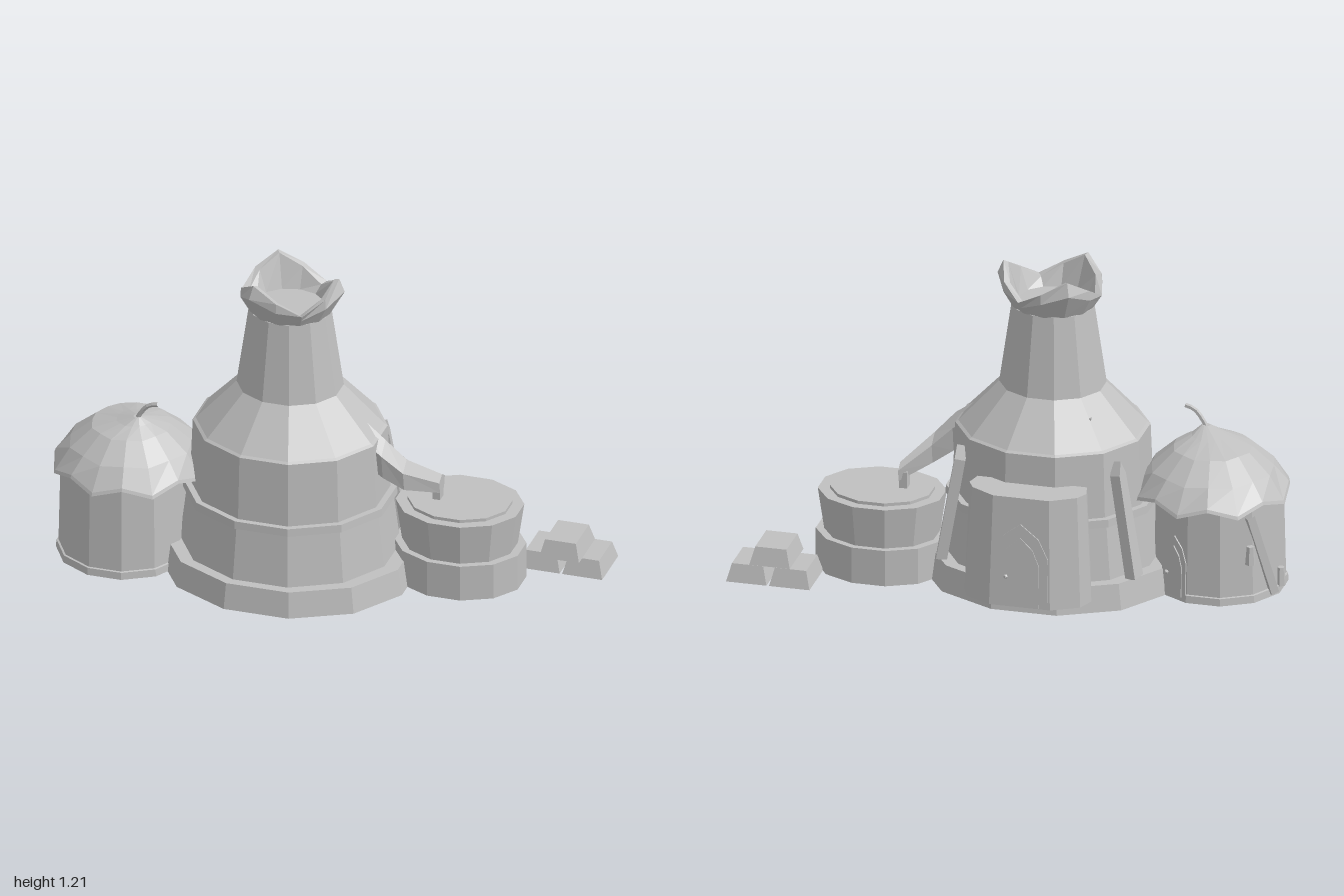
import * as THREE from 'three';

const stone = new THREE.MeshStandardMaterial({ color: 0xc0c0c0, flatShading: true });
stone.name = 'grey stone';

const V = (x, y, z) => new THREE.Vector3(x, y, z);

// Closed solid through a series of cross-sections with equal point counts
function loft(rings) {
  const pos = [];
  const tri = (...p) => p.forEach(v => pos.push(v.x, v.y, v.z));
  const mid = r => r.reduce((s, v) => s.add(v), V(0, 0, 0)).divideScalar(r.length);
  const n = rings[0].length, first = rings[0], last = rings[rings.length - 1];
  const c0 = mid(first), c1 = mid(last);
  for (let i = 0; i < n; i++) {
    const j = (i + 1) % n;
    for (let k = 0; k + 1 < rings.length; k++) {
      const a = rings[k], b = rings[k + 1];
      tri(a[i], b[i], a[j]);
      tri(a[j], b[i], b[j]);
    }
    tri(c0, first[i], first[j]);
    tri(c1, last[j], last[i]);
  }
  const g = new THREE.BufferGeometry();
  g.setAttribute('position', new THREE.Float32BufferAttribute(pos, 3));
  g.computeVertexNormals();
  return g;
}

// Horizontal ring; f(angle, index) gives [radius, y]
function ring(cx, cz, sx, f, offset = Math.PI / 12, n = 12) {
  return Array.from({ length: n }, (_, i) => {
    const a = offset + i * Math.PI * 2 / n, [r, y] = f(a, i);
    return V(cx + sx * r * Math.cos(a), y, cz + r * Math.sin(a));
  });
}

// Twelve-sided turned solid; profile radii are measured to the flats
function turned(cx, cz, sx, profile) {
  return loft(profile.map(([r, y]) => ring(cx, cz, sx, () => [r / Math.cos(Math.PI / 12), y])));
}

function archGeometry(w, h, depth) {
  const s = new THREE.Shape();
  s.moveTo(-w / 2, 0);
  s.lineTo(w / 2, 0);
  s.lineTo(w / 2, h * 0.6);
  s.lineTo(w * 0.33, h * 0.83);
  s.lineTo(0, h);
  s.lineTo(-w * 0.33, h * 0.83);
  s.lineTo(-w / 2, h * 0.6);
  return new THREE.ExtrudeGeometry(s, { depth, bevelEnabled: false });
}

export function createModel() {
  const model = new THREE.Group();
  const add = (name, geo, parent = model) => {
    const m = new THREE.Mesh(geo, stone);
    m.name = name;
    parent.add(m);
    return m;
  };

  // Tower, with a base hollow from below
  const tx = -0.125, tz = 0.04, ts = 1.09;
  add('towerBase', turned(tx, tz, 1.13, [[0.385, 0.09], [0.403, 0], [0.41, 0], [0.395, 0.1]]));
  add('towerBody', turned(tx, tz, ts, [[0.36, 0.095], [0.337, 0.305], [0.35, 0.305], [0.348, 0.335],
    [0.327, 0.335], [0.318, 0.585], [0.308, 0.592], [0.175, 0.75], [0.135, 1.06]]));

  // Flared crown with three points and a hollow middle
  const crown = f => ring(tx, tz, ts, a => f((1 + Math.cos(3 * a)) / 2), 0);
  add('towerCrown', loft([
    crown(() => [0.139, 1.058]),
    crown(t => [0.155 + 0.037 * t, 1.085 + 0.075 * t]),
    crown(t => [0.17 + 0.002 * t, 1.11 + 0.1 * t]),
    crown(t => [0.145 + 0.01 * t, 1.105 + 0.1 * t]),
    crown(() => [0.118, 1.075]),
  ]));

  // Small pegs on the tower shoulder
  for (const x of [-0.31, -0.02]) {
    const peg = add('roofPeg', new THREE.BoxGeometry(0.008, 0.02, 0.015));
    peg.position.set(x, 0.68, -0.12);
  }

  // Porch behind the tower
  const plan = (y, s, back) => [[0.225, -0.25], [-0.225, -0.25], [-0.24, -0.31], [-0.215, -0.375 + back],
    [-0.115, -0.43 + back], [0.115, -0.43 + back], [0.215, -0.375 + back], [0.24, -0.31]]
    .map(([x, z]) => V(tx + x * s, y, z));
  add('porch', loft([plan(0.045, 1, 0), plan(0.47, 0.92, 0.02)]));

  // Pointed doors with frame, panel and knob
  function door(name, x, y, z, turn, lean, w, h) {
    const g = new THREE.Group();
    g.name = name;
    g.rotation.order = 'YXZ';
    g.rotation.set(lean, turn, 0);
    g.position.set(x, y, z);
    add('doorFrame', archGeometry(w, h, 0.005), g);
    add('doorPanel', archGeometry(w * 0.7, h * 0.84, 0.009), g);
    const knob = add('doorKnob', new THREE.IcosahedronGeometry(0.009, 0), g);
    knob.position.set(-w * 0.24, h * 0.36, 0.014);
    model.add(g);
  }
  door('porchDoor', tx, 0.05, -0.43, Math.PI, -0.047, 0.21, 0.32);

  // Pointed planks leaning on both sides of the tower
  for (const side of [-1, 1]) {
    const s = new THREE.Shape([[-0.032, 0], [0.032, 0], [0.024, 0.4], [0, 0.45], [-0.024, 0.4]]
      .map(p => new THREE.Vector2(...p)));
    const plank = add('leaningPlank', new THREE.ExtrudeGeometry(s, { depth: 0.04, bevelEnabled: false }));
    plank.rotation.order = 'YXZ';
    plank.position.set(tx + side * 0.345, 0.095, -0.165);
    plank.rotation.set(-0.17, side * 1.8, 0);
  }

  // Bent chute from the tower to the pot
  const chute = [[0.17, 0.56, 0.045, 0.05, 0.075], [0.245, 0.51, 0.055, 0.05, 0.07],
    [0.32, 0.445, 0.035, 0.046, 0.055], [0.425, 0.375, -0.06, 0.034, 0.033]]
    .map(([x, y, z, w, h]) => [[1, 0.35], [0, 1], [-1, 0.35], [-0.7, -1], [0.7, -1]]
      .map(([c, d]) => V(x, y + d * h, z + c * w)));
  add('chute', loft(chute));
  add('chuteSpout', new THREE.BoxGeometry(0.03, 0.07, 0.04)).position.set(0.41, 0.34, -0.057);

  // Pot on its hollow pedestal
  const px = 0.49, pz = -0.072;
  add('potPedestal', turned(px, pz, 1.2, [[0.19, 0.1], [0.192, 0], [0.198, 0], [0.198, 0.14]]));
  add('pot', turned(px, pz, 1.18, [[0.175, 0.135], [0.195, 0.3]]));
  add('potContents', turned(px, pz, 1.17, [[0.16, 0.295], [0.16, 0.312]]));

  // Stack of three ingots, hollow from below
  for (const [x, y, z] of [[0.76, 0, -0.28], [0.9225, 0, -0.28], [0.84, 0.067, -0.26]]) {
    const rect = (w, d, h) => [[1, 1], [-1, 1], [-1, -1], [1, -1]].map(([a, b]) => V(x + a * w, y + h, z + b * d));
    add('ingot', loft([rect(0.058, 0.077, 0.06), rect(0.073, 0.093, 0), rect(0.0765, 0.097, 0), rect(0.059, 0.078, 0.067)]));
  }

  // Hut walls, hollow from below
  const hx = -0.738, hz = 0.11;
  add('hutWall', turned(hx, hz, 1, [[0.23, 0.08], [0.236, 0], [0.242, 0], [0.24, 0.028], [0.233, 0.03], [0.225, 0.39]]));

  // Scalloped hut roof with its peak off centre
  const scallop = (cx, cz, r, low, high) => ring(cx, cz, 0.96,
    (a, i) => [r * (i % 2 ? 0.96 : 1), i % 2 ? high : low], Math.PI / 16, 16);
  add('hutRoof', loft([
    scallop(-0.72, 0.105, 0.21, 0.393, 0.393),
    scallop(-0.713, 0.105, 0.305, 0.357, 0.388),
    scallop(-0.713, 0.105, 0.3, 0.37, 0.4),
    scallop(-0.712, 0.108, 0.242, 0.455, 0.46),
    scallop(-0.71, 0.115, 0.155, 0.527, 0.53),
    scallop(-0.69, 0.14, 0.07, 0.56, 0.56),
    scallop(-0.67, 0.165, 0.016, 0.585, 0.585),
  ]));
  const hook = new THREE.CatmullRomCurve3([V(-0.68, 0.56, 0.165), V(-0.655, 0.605, 0.167), V(-0.625, 0.64, 0.17), V(-0.59, 0.65, 0.173)]);
  add('roofHook', new THREE.TubeGeometry(hook, 6, 0.009, 5));

  // Hut door, leaning pole and lamps
  const ha = Math.PI / 6;
  door('hutDoor', hx + Math.sin(ha) * 0.236, 0.015, hz - Math.cos(ha) * 0.236, Math.PI - ha, -0.02, 0.12, 0.23);
  const onHut = (deg, r, y) => V(hx - Math.sin(deg * Math.PI / 180) * r, y, hz - Math.cos(deg * Math.PI / 180) * r);
  const pole = new THREE.LineCurve3(onHut(42, 0.235, 0.34), onHut(68, 0.245, 0.015));
  add('leaningPole', new THREE.TubeGeometry(pole, 1, 0.022, 4));
  for (const [deg, y] of [[42, 0.19], [80, 0.06]]) {
    const lamp = add('hutLamp', new THREE.CylinderGeometry(0.014, 0.02, 0.07, 6));
    lamp.position.copy(onHut(deg, 0.245, y));
  }
  return model;
}
